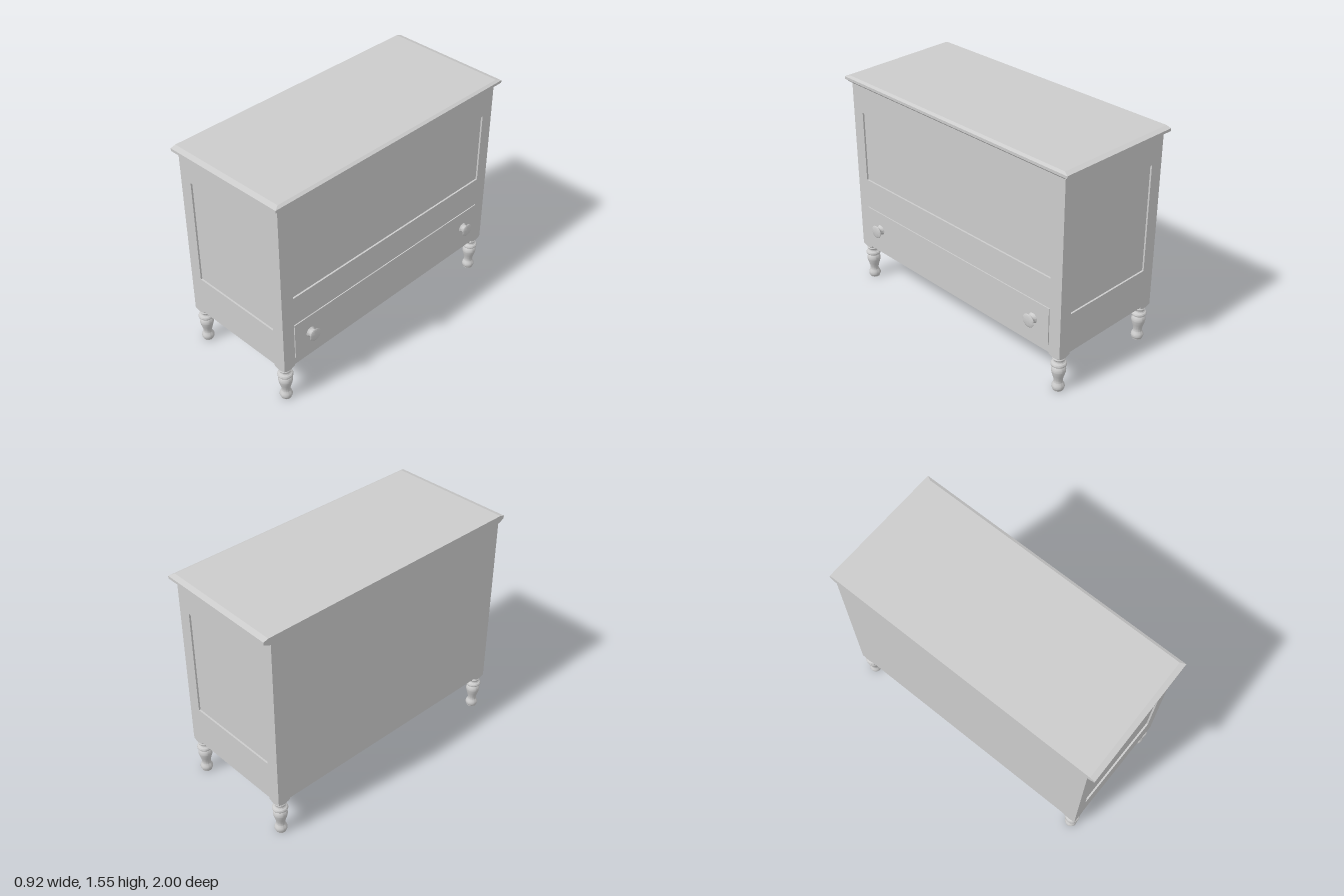
import * as THREE from 'three';
import { toCreasedNormals } from 'three/addons/utils/BufferGeometryUtils.js';
import { ConvexGeometry } from 'three/addons/geometries/ConvexGeometry.js';

const grey = new THREE.MeshStandardMaterial({ color: 0xcccccc });
const BACK = -0.455, FRONT = 0.405, SIDE = 0.95, LOW = 0.28, HIGH = 1.5, INSET = 0.012;

function add(parent, name, geometry, x = 0, y = 0, z = 0) {
  const mesh = new THREE.Mesh(geometry, grey);
  mesh.name = name;
  mesh.position.set(x, y, z);
  parent.add(mesh);
  return mesh;
}

function box(parent, name, x0, x1, y0, y1, z0, z1) {
  return add(parent, name, new THREE.BoxGeometry(x1 - x0, y1 - y0, z1 - z0),
    (x0 + x1) / 2, (y0 + y1) / 2, (z0 + z1) / 2);
}

function trace(path, x0, x1, y0, y1) {
  path.moveTo(x0, y0);
  path.lineTo(x1, y0);
  path.lineTo(x1, y1);
  path.lineTo(x0, y1);
  path.closePath();
  return path;
}

// Flat frame around a rectangular opening, extruded toward +z
function frame(outer, inner) {
  const shape = trace(new THREE.Shape(), ...outer);
  shape.holes.push(trace(new THREE.Path(), ...inner));
  return new THREE.ExtrudeGeometry(shape, { depth: INSET, bevelEnabled: false });
}

// Smooth turned profile: beads and coves through [radius, height] points
function turned(points, samples, segments) {
  const curve = new THREE.SplineCurve(points.map(([r, y]) => new THREE.Vector2(r, y)));
  const profile = curve.getPoints(samples);
  const first = points[0], last = points[points.length - 1];
  profile.unshift(new THREE.Vector2(0, first[1]));
  profile.push(new THREE.Vector2(0, last[1]));
  return toCreasedNormals(new THREE.LatheGeometry(profile, segments), 0.7);
}

// Square post end whose lower edges arch down toward a round neck
function postEnd() {
  const half = 0.045, geometry = new THREE.CylinderGeometry(1, 1, 1, 32, 2);
  const p = geometry.attributes.position;
  for (let i = 0; i < p.count; i++) {
    const x = p.getX(i), z = p.getZ(i), level = p.getY(i);
    const reach = half / Math.max(Math.abs(x), Math.abs(z), 0.7);
    const isCentre = Math.hypot(x, z) < 0.01;
    const r = isCentre ? 0 : level < -0.1 ? 0.036 : reach;
    const y = level > 0.1 ? LOW + 0.002 : level < -0.1 ? 0.247 : 0.256 + 0.7 * (reach - half);
    p.setXYZ(i, x * r, y, z * r);
  }
  return toCreasedNormals(geometry, 0.5);
}

export function createModel() {
  const chest = new THREE.Group();
  chest.name = 'blanketChest';

  // Carcass with framed, recessed panels
  box(chest, 'carcass', BACK, FRONT - INSET, LOW, HIGH, -SIDE + INSET, SIDE - INSET);
  const sideFrame = frame([BACK, FRONT, LOW, HIGH], [-0.365, 0.315, 0.56, 1.31]);
  add(chest, 'leftSideFrame', sideFrame, 0, 0, SIDE - INSET);
  add(chest, 'rightSideFrame', sideFrame, 0, 0, -SIDE);
  const w = SIDE - INSET;
  const frontFrame = frame([-w, w, LOW, HIGH], [-0.86, 0.86, 0.81, 1.31]);
  add(chest, 'frontFrame', frontFrame, FRONT - INSET).rotation.y = Math.PI / 2;
  // Solid end faces behind the right frame's opening keep the recess shallow
  box(chest, 'drawerFront', FRONT - 0.005, FRONT + 0.007, 0.335, 0.6, -0.86, 0.86);

  // Moulded lid, flush at the back and tapering slightly toward the front
  const corners = [];
  for (const [y, x, z] of [[1.5, 0.41, 0.96], [1.522, 0.435, 1], [1.54, 0.435, 1], [1.55, 0.415, 0.965]]) {
    for (const s of [-1, 1]) {
      corners.push(new THREE.Vector3(BACK, y, s * z), new THREE.Vector3(x, y, s * (z - 0.013)));
    }
  }
  add(chest, 'lid', new ConvexGeometry(corners));

  // Drawer knobs
  const knob = turned([[0.036, 0], [0.029, 0.01], [0.026, 0.022], [0.034, 0.034],
    [0.045, 0.039], [0.044, 0.043], [0.03, 0.047]], 24, 32);
  for (const z of [-0.73, 0.73]) {
    add(chest, 'drawerKnob', knob, FRONT + 0.006, 0.47, z).rotation.z = -Math.PI / 2;
  }

  // Turned legs
  const turning = turned([[0.034, 0.004], [0.038, 0.012], [0.042, 0.025], [0.038, 0.042], [0.029, 0.062],
    [0.032, 0.09], [0.042, 0.125], [0.047, 0.152], [0.042, 0.172], [0.036, 0.183],
    [0.049, 0.191], [0.051, 0.2], [0.047, 0.209], [0.036, 0.216], [0.034, 0.23],
    [0.042, 0.24], [0.036, 0.25]], 64, 32);
  const post = postEnd();
  for (const x of [-0.41, 0.358]) {
    for (const z of [-0.905, 0.905]) {
      const leg = new THREE.Group();
      leg.name = 'leg';
      leg.position.set(x, 0, z);
      add(leg, 'legTurning', turning);
      add(leg, 'legPost', post);
      add(leg, 'footPad', new THREE.CylinderGeometry(0.034, 0.034, 0.006, 32), 0, 0.003, 0);
      chest.add(leg);
    }
  }
  return chest;
}
